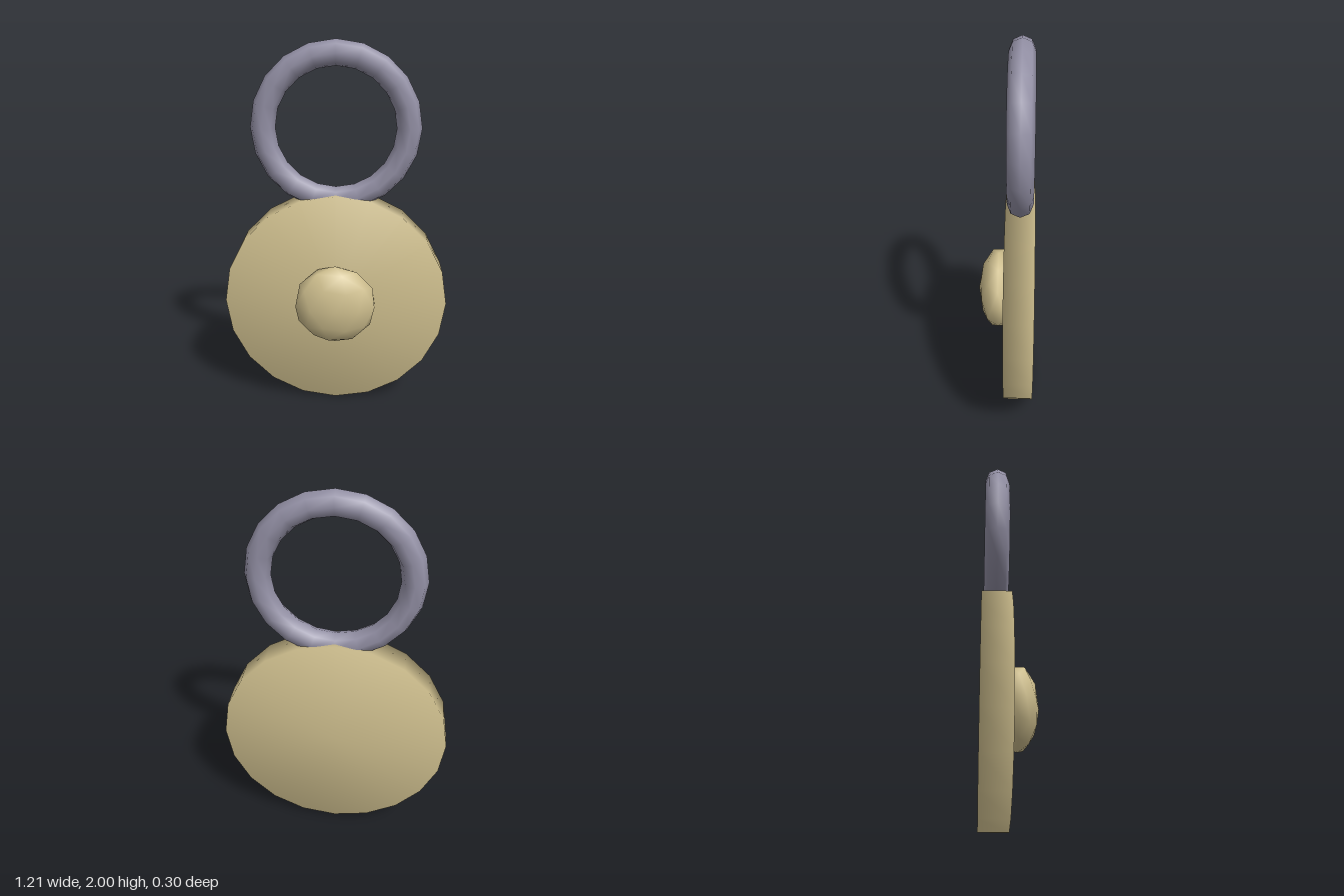
import * as THREE from 'three';
import { mergeVertices } from 'three/addons/utils/BufferGeometryUtils.js';

// Share vertices so the shading runs smoothly over every edge
function smooth(geometry) {
  geometry.deleteAttribute('normal');
  geometry.deleteAttribute('uv');
  const merged = mergeVertices(geometry, 1e-4);
  merged.computeVertexNormals();
  return merged;
}

export function createModel() {
  const brass = new THREE.MeshStandardMaterial({ color: 0xd0c08f });
  brass.name = 'brass';
  const steel = new THREE.MeshStandardMaterial({ color: 0x9390a5 });
  steel.name = 'steel';

  const model = new THREE.Group();
  model.name = 'pendant';
  const add = (name, geometry, material, x, y, z) => {
    const mesh = new THREE.Mesh(geometry, material);
    mesh.name = name;
    mesh.position.set(x, y, z);
    model.add(mesh);
  };

  // Round medallion, twenty sides
  const disc = new THREE.CylinderGeometry(0.606, 0.606, 0.15, 20);
  disc.rotateX(Math.PI / 2);
  add('disc', smooth(disc), brass, 0, 0.606, -0.075);

  // Flattened boss on the front, with a vertex turned to the top
  const boss = new THREE.IcosahedronGeometry(1, 1);
  boss.rotateZ(-Math.atan(2 / (1 + Math.sqrt(5))));
  boss.scale(0.225, 0.225, 0.11);
  add('boss', smooth(boss), brass, 0, 0.61, 0.04);

  // Hanging ring sunk into the rim of the disc
  add('hangingRing', new THREE.TorusGeometry(0.377, 0.065, 8, 20), steel, 0, 1.558, -0.075);

  return model;
}
